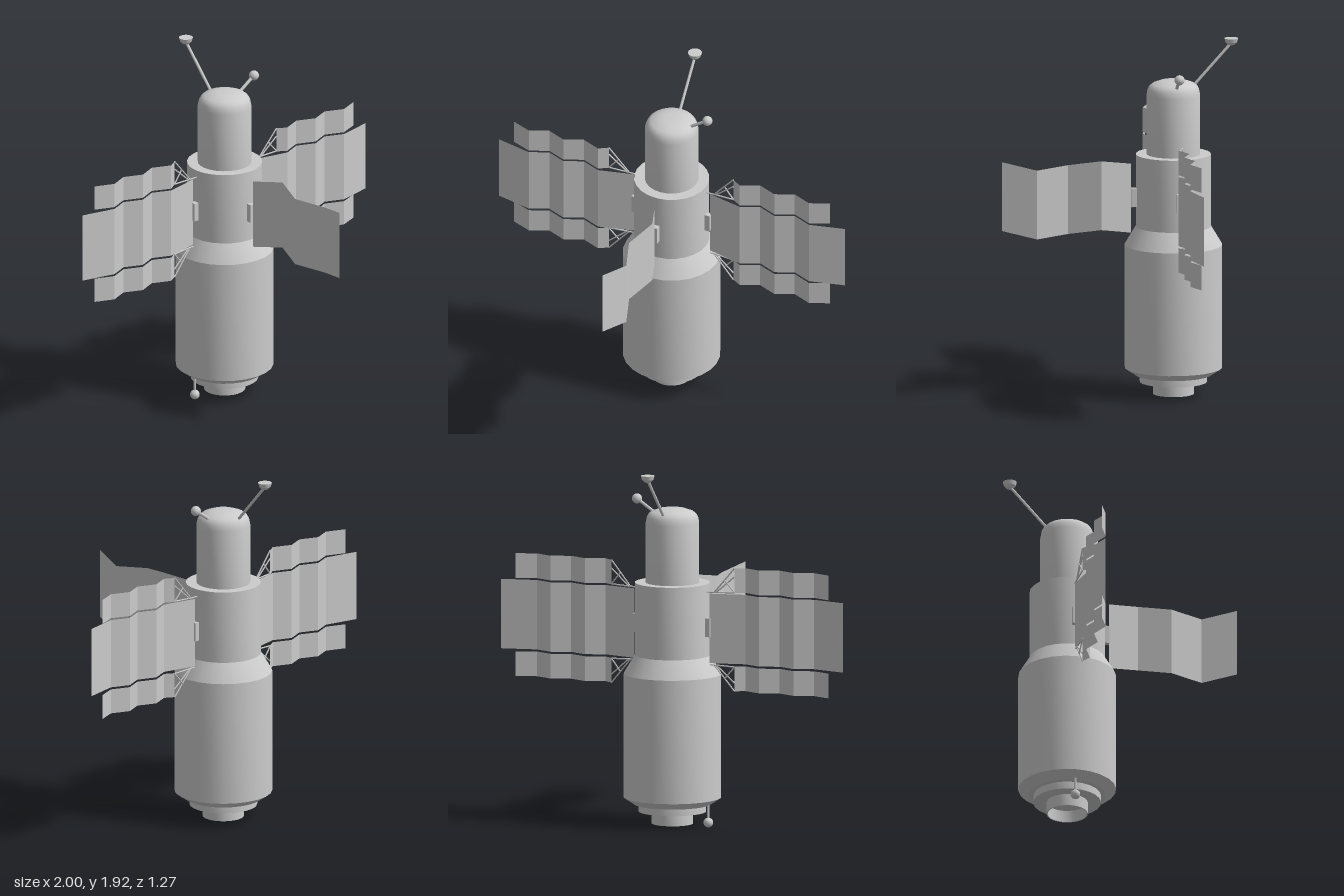
import * as THREE from 'three';
import { toCreasedNormals } from 'three/addons/utils/BufferGeometryUtils.js';

const AXIS_Z = -0.287; // the hull's vertical axis
const grey = new THREE.MeshStandardMaterial({ color: 0xcccccc });
const sheet = new THREE.MeshStandardMaterial({ color: 0xcccccc, side: THREE.DoubleSide, flatShading: true });

function add(parent, name, geometry, material = grey) {
  const mesh = new THREE.Mesh(geometry, material);
  mesh.name = name;
  parent.add(mesh);
  return mesh;
}

// Turned part from [radius, height] pairs, listed from bottom to top
function turned(profile) {
  const points = profile.map(([r, y]) => new THREE.Vector2(r, y));
  return toCreasedNormals(new THREE.LatheGeometry(points, 24), 0.45);
}

// Straight rod between two points
function rod(parent, name, from, to, radius) {
  const a = new THREE.Vector3(...from), b = new THREE.Vector3(...to);
  const dir = b.clone().sub(a);
  const mesh = add(parent, name, new THREE.CylinderGeometry(radius, radius, dir.length(), 8));
  mesh.position.copy(a).add(b).multiplyScalar(0.5);
  mesh.quaternion.setFromUnitVectors(new THREE.Vector3(0, 1, 0), dir.normalize());
}

function ball(parent, name, at, radius) {
  add(parent, name, new THREE.SphereGeometry(radius, 16, 12)).position.set(...at);
}

// Folded sheet: each [x, z, bottom, top] fold is a vertical edge
function foldedPanel(folds) {
  const positions = [], index = [];
  folds.forEach(([x, z, bottom, top], i) => {
    positions.push(x, bottom, z, x, top, z);
    if (i > 0) {
      const k = 2 * i;
      index.push(k - 2, k, k + 1, k - 2, k + 1, k - 1);
    }
  });
  const geometry = new THREE.BufferGeometry();
  geometry.setAttribute('position', new THREE.Float32BufferAttribute(positions, 3));
  geometry.setIndex(index);
  geometry.computeVertexNormals();
  return geometry;
}

function sideWing(side) {
  const wing = new THREE.Group();
  wing.name = side > 0 ? 'leftWing' : 'rightWing';
  const middle = [[0.41, -0.25], [0.51, -0.292], [0.61, -0.25], [0.71, -0.292], [0.81, -0.25]];
  const strip = (name, inner, outer, bottom, top) => add(wing, name, foldedPanel(
    [inner, ...middle, outer].map(([x, z]) => [side * x, z, bottom, top])), sheet);
  strip('mainPanel', [0.22, -0.292], [1, -0.292], 0.89, 1.263);

  // Narrow panels above and below, each held by a small truss
  const centre = 1.076;
  for (const up of [1, -1]) {
    const near = centre + up * 0.197, far = centre + up * 0.33;
    strip(up > 0 ? 'upperPanel' : 'lowerPanel', [0.36, -0.28], [0.915, -0.292],
      Math.min(near, far), Math.max(near, far));
    const strut = (x1, y1, x2, y2, z = -0.28) => rod(wing, 'strut',
      [side * x1, centre + up * y1, AXIS_Z], [side * x2, centre + up * y2, z], 0.004);
    strut(0.245, 0.195, 0.36, 0.33);
    strut(0.255, 0.195, 0.36, 0.285);
    strut(0.245, 0.195, 0.36, 0.2);
    strut(0.305, 0.265, 0.36, 0.2);
    strut(0.2, 0.195, 0.255, 0.195, AXIS_Z);
  }

  add(wing, 'bracket', new THREE.BoxGeometry(0.04, 0.1, 0.03)).position.set(side * 0.205, 1.08, AXIS_Z);
  return wing;
}

export function createModel() {
  const model = new THREE.Group();
  model.name = 'spaceStation';

  // Hull: lower collar, wide section, shoulder and narrower section
  add(model, 'hull', turned([
    [0, 0.08], [0.18, 0.08], [0.18, 0.12], [0.205, 0.12], [0.26, 0.157], [0.26, 0.82],
    [0.2, 0.92], [0.2, 1.31], [0.13, 1.31],
  ])).position.z = AXIS_Z;

  // Upper module with a rounded shoulder and shallow dome
  add(model, 'upperModule', turned([
    [0.143, 1.3], [0.143, 1.63], [0.137, 1.66], [0.127, 1.678], [0.112, 1.69],
    [0.07, 1.705], [0.04, 1.709], [0, 1.71],
  ])).position.z = AXIS_Z;

  // Open docking ring underneath
  add(model, 'dockingRing', turned([
    [0.104, 0.08], [0.104, 0.015], [0.11, 0.015], [0.11, 0.085],
  ])).position.z = AXIS_Z;

  model.add(sideWing(1), sideWing(-1));

  // Front panel, folded and slightly wavy along its length
  add(model, 'frontPanel', foldedPanel([
    [0, -0.06, 0.89, 1.263], [0.06, 0.11, 0.92, 1.292], [0, 0.28, 0.893, 1.265],
    [0.06, 0.455, 0.88, 1.252], [0, 0.635, 0.92, 1.292],
  ]), sheet);
  add(model, 'frontBracket', new THREE.BoxGeometry(0.03, 0.1, 0.04)).position.set(0, 1.08, -0.08);

  // Rear antenna with a half-ball dish, flat side up
  rod(model, 'rearAntenna', [0, 1.67, -0.39], [0, 1.9, -0.598], 0.008);
  add(model, 'antennaDish', turned([
    [0, 1.885], [0.018, 1.89], [0.031, 1.904], [0.037, 1.925], [0, 1.925],
  ])).position.z = -0.598;

  // Side antenna near the top
  rod(model, 'sideAntenna', [0.1, 1.675, AXIS_Z], [0.205, 1.745, AXIS_Z], 0.009);
  ball(model, 'sideAntennaTip', [0.207, 1.746, AXIS_Z], 0.027);

  // Probe hanging below the hull
  rod(model, 'lowerProbe', [-0.21, 0.16, AXIS_Z], [-0.21, 0.03, AXIS_Z], 0.007);
  ball(model, 'lowerProbeTip', [-0.21, 0.033, AXIS_Z], 0.026);

  return model;
}
